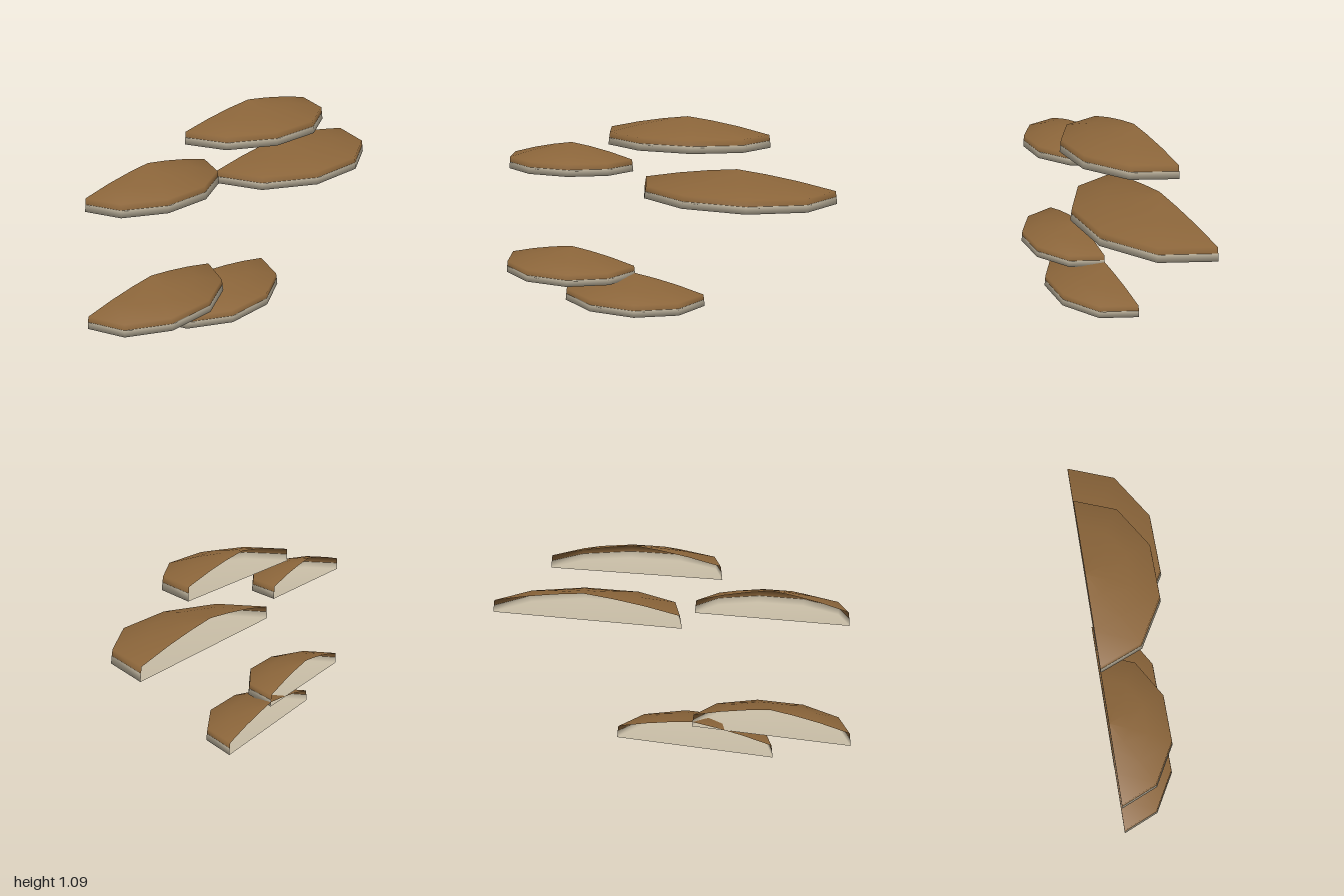
import * as THREE from 'three';

const HEIGHT = 0.147; // every bracket has the same thickness
const DEPTH = 0.8;    // depth relative to radius
const BACK = -0.21;   // plane of the open, cut side

// Half-turn lathe facing +z, open at the back
function halfLathe(profile, radius) {
  const points = profile.map(([r, y]) => new THREE.Vector2(r * radius, y));
  return new THREE.LatheGeometry(points, 5, -Math.PI / 2, Math.PI);
}

export function createModel() {
  const capBrown = new THREE.MeshStandardMaterial({ color: 0x8b653a, side: THREE.DoubleSide });
  capBrown.name = 'cap brown';
  const poreCream = new THREE.MeshStandardMaterial({ color: 0xc8bda6, side: THREE.DoubleSide });
  poreCream.name = 'pore cream';

  // Domed top and upper rim
  const topProfile = [[0.99, 0.038], [0.98, 0.068], [0.62, 0.105], [0.3, 0.13], [0, HEIGHT]];
  // Flat underside and lower rim
  const underProfile = [[0, 0], [1, 0], [0.99, 0.038]];

  // Brackets: x, base height, radius
  const brackets = [
    [0.16, 0.945, 0.472],
    [-0.563, 0.76, 0.394],
    [0.45, 0.668, 0.55],
    [-0.58, 0.122, 0.422],
    [-0.163, 0, 0.44],
  ];

  const model = new THREE.Group();
  model.name = 'shelfFungus';
  brackets.forEach(([x, y, radius], i) => {
    const bracket = new THREE.Group();
    bracket.name = `bracket${i + 1}`;
    const cap = new THREE.Mesh(halfLathe(topProfile, radius), capBrown);
    cap.name = 'cap';
    const underside = new THREE.Mesh(halfLathe(underProfile, radius), poreCream);
    underside.name = 'underside';
    bracket.add(cap, underside);
    bracket.position.set(x, y, BACK);
    bracket.scale.z = DEPTH;
    model.add(bracket);
  });
  return model;
}
